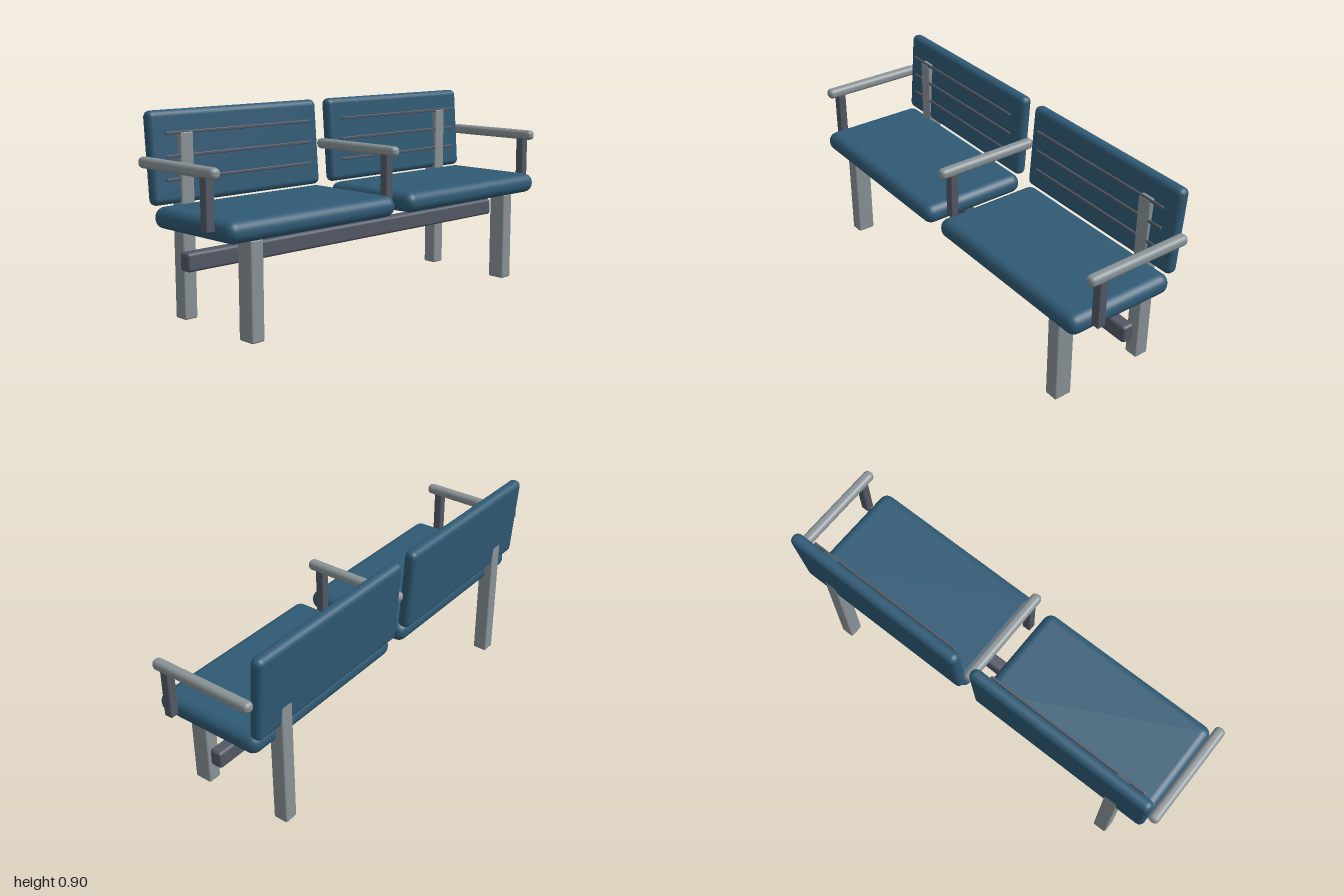
import * as THREE from 'three';
import { RoundedBoxGeometry } from 'three/addons/geometries/RoundedBoxGeometry.js';

const material = (name, color) => {
  const m = new THREE.MeshStandardMaterial({ color });
  m.name = name;
  return m;
};

export function createModel() {
  const group = new THREE.Group();
  group.name = 'bench';
  const blue = material('blue upholstery', 0x2f5a75);
  const grey = material('light grey metal', 0x8a9397);
  const dark = material('dark grey metal', 0x525865);

  // Rounded block given by its extents on each axis
  function block(name, mat, [x0, x1], [y0, y1], [z0, z1], radius, parent = group) {
    const geometry = new RoundedBoxGeometry(x1 - x0, y1 - y0, z1 - z0, 4, radius);
    const mesh = new THREE.Mesh(geometry, mat);
    mesh.name = name;
    mesh.position.set((x0 + x1) / 2, (y0 + y1) / 2, (z0 + z1) / 2);
    parent.add(mesh);
    return mesh;
  }
  const around = (c, size) => [c - size / 2, c + size / 2];

  for (const [side, s] of [['left', 1], ['right', -1]]) {
    const half = new THREE.Group();
    half.name = side + 'Half';
    group.add(half);
    const x = s * 0.494;

    // Seat cushion and leaning backrest
    block('seat', blue, around(x, 0.915), [0.417, 0.508], [-0.235, 0.29], 0.043, half);
    const back = block('backrest', blue, around(x, 0.915), around(0.703, 0.39), around(-0.2475, 0.058), 0.027, half);
    back.rotation.x = -0.075;

    // Thin slats across the backrest
    for (const y of [0.612, 0.709, 0.805]) {
      block('backSlat', dark, around(x, 0.79), around(y, 0.013), [-0.212, -0.202], 0.003, half);
    }

    // Short front leg, tall rear post
    block('frontLeg', grey, around(s * 0.788, 0.066), [0, 0.418], [0.162, 0.247], 0.009, half);
    block('rearPost', grey, around(s * 0.788, 0.066), [0.008, 0.807], [-0.269, -0.2], 0.008, half);
  }

  // Beam under the seats
  block('beam', dark, [-0.95, 0.95], [0.27, 0.349], [-0.045, 0.014], 0.014);

  // Three armrests on their supports
  for (const x of [-0.976, 0, 0.976]) {
    block('armrest', grey, around(x, 0.048), [0.669, 0.716], [-0.256, 0.247], 0.02);
    block('armSupport', dark, around(x, 0.042), [0.463, 0.68], [0.162, 0.202], 0.006);
  }
  return group;
}
